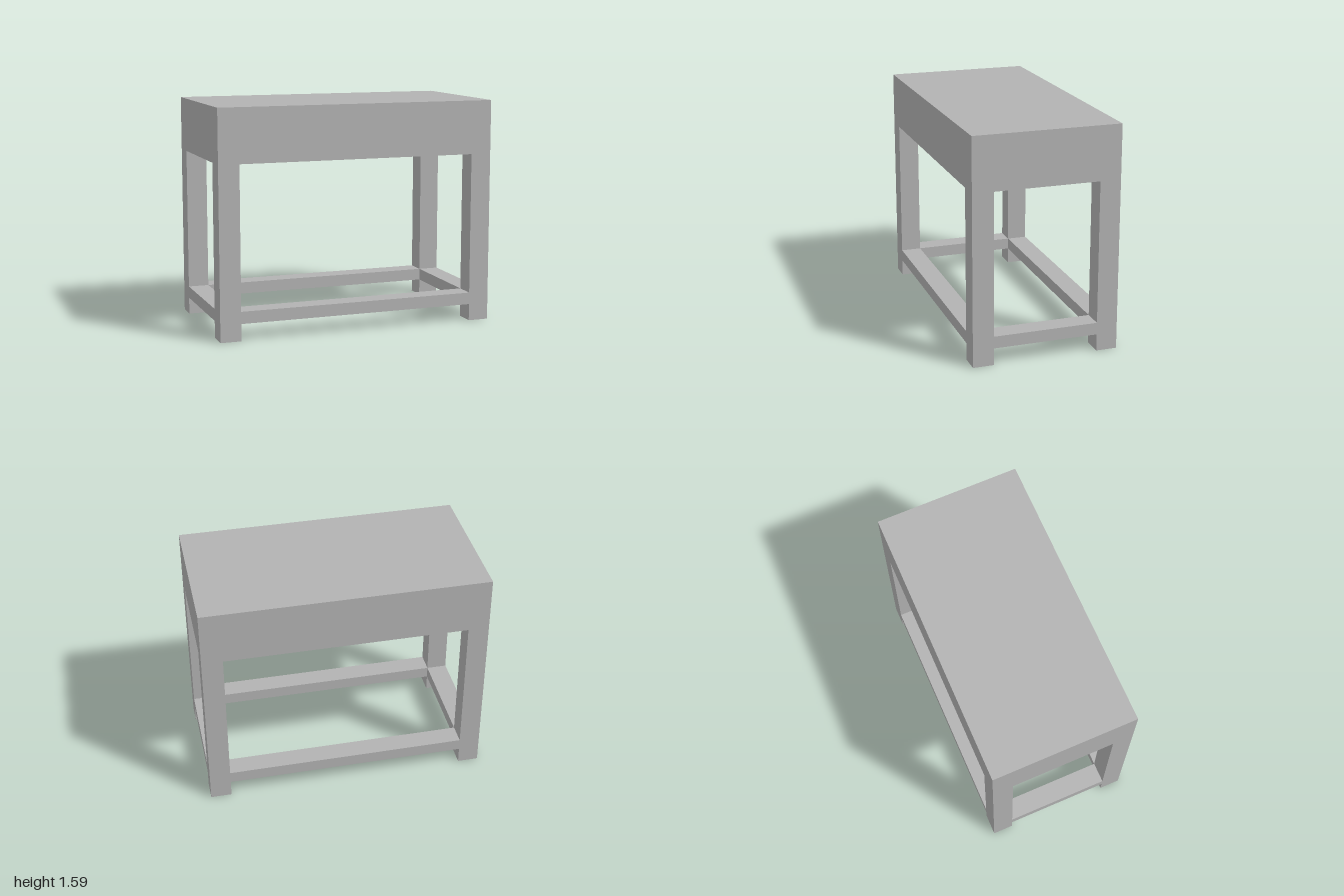
import * as THREE from 'three';

const W = 2, D = 1.034, H = 1.59;        // overall size
const LEG = 0.147;                       // square leg and rail width
const BODY_Y = 1.21;                     // underside of the top block
const RAIL_Y0 = 0.12, RAIL_Y1 = 0.205;   // stretcher rail bottom and top

export function createModel() {
  const group = new THREE.Group();
  const grey = new THREE.MeshStandardMaterial({ color: 0xb2b2b2 });
  grey.name = 'plain grey';

  // Box spanning y0 to y1, centred on x and z
  const addBox = (name, w, d, y0, y1, x = 0, z = 0) => {
    const mesh = new THREE.Mesh(new THREE.BoxGeometry(w, y1 - y0, d), grey);
    mesh.name = name;
    mesh.position.set(x, (y0 + y1) / 2, z);
    group.add(mesh);
  };

  // Deep solid top
  addBox('tableTop', W, D, BODY_Y, H);

  const legX = (W - LEG) / 2, legZ = (D - LEG) / 2;

  // Four corner legs, flush with the top
  for (const [sx, side] of [[1, 'Left'], [-1, 'Right']])
    for (const [sz, end] of [[1, 'front'], [-1, 'back']])
      addBox(`${end}${side}Leg`, LEG, LEG, 0, BODY_Y, sx * legX, sz * legZ);

  // Low stretcher rails between the legs
  for (const [s, long, short] of [[1, 'front', 'left'], [-1, 'back', 'right']]) {
    addBox(`${long}Rail`, W - 2 * LEG, LEG, RAIL_Y0, RAIL_Y1, 0, s * legZ);
    addBox(`${short}Rail`, LEG, D - 2 * LEG, RAIL_Y0, RAIL_Y1, s * legX, 0);
  }

  return group;
}
